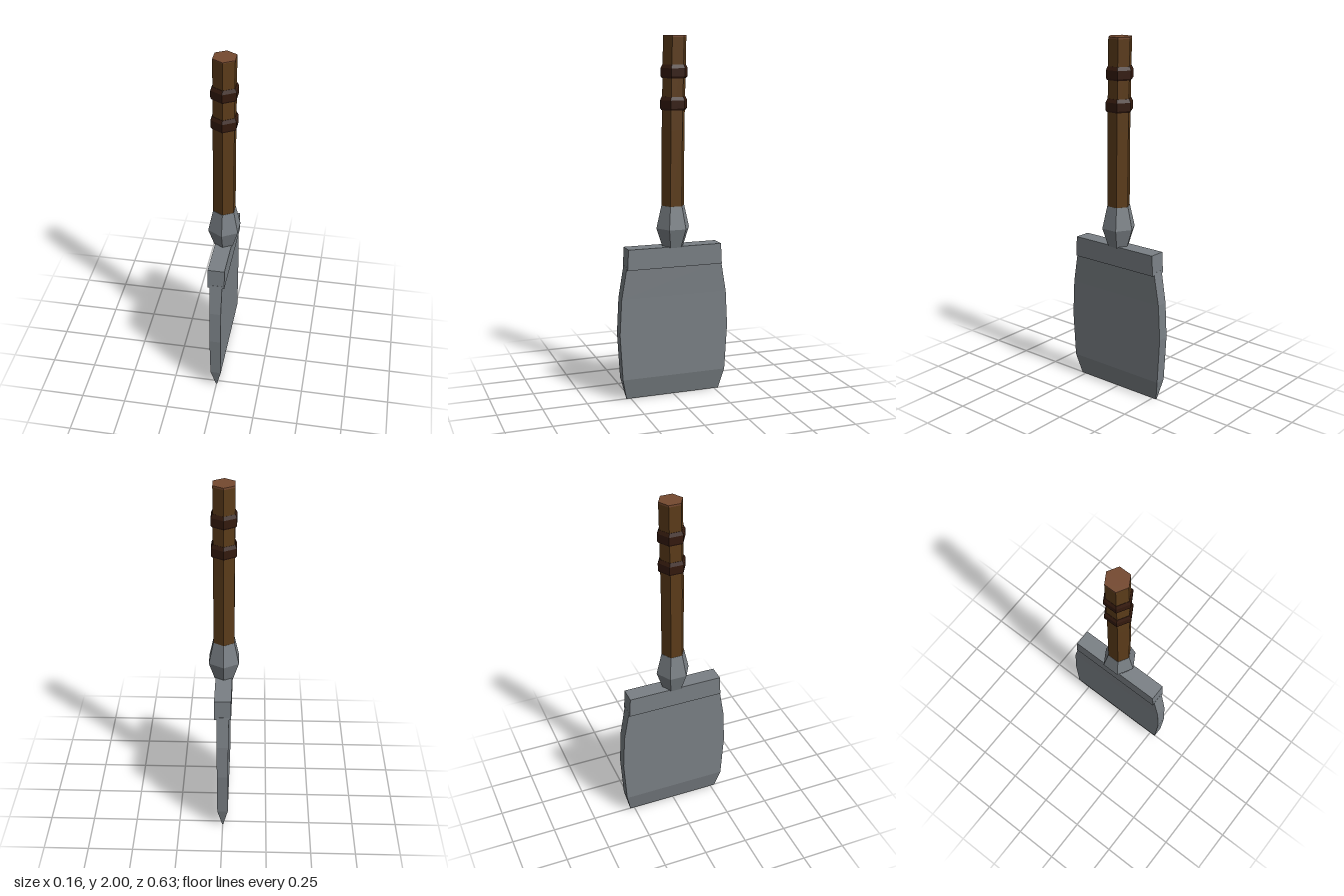
import * as THREE from 'three';

const flat = (color) => new THREE.MeshStandardMaterial({ color, flatShading: true });

// Stack of closed cross-sections (all the same corner count), capped at both ends
function loft(rings) {
  const n = rings[0].length, index = [];
  for (let r = 0; r < rings.length - 1; r++) {
    for (let i = 0; i < n; i++) {
      const a = r * n + i, b = r * n + (i + 1) % n;
      index.push(a, b, b + n, a, b + n, a + n);
    }
  }
  const top = (rings.length - 1) * n;
  for (let i = 1; i < n - 1; i++) {
    index.push(0, i + 1, i);
    index.push(top, top + i, top + i + 1);
  }
  const geometry = new THREE.BufferGeometry();
  geometry.setAttribute('position', new THREE.Float32BufferAttribute(rings.flat(2), 3));
  geometry.setIndex(index);
  const result = geometry.toNonIndexed();
  result.computeVertexNormals();
  return result;
}

// Six-sided rings from [y, radius, z offset], with corners on the z axis
const hexLoft = (sections) => loft(sections.map(([y, r, dz]) =>
  Array.from({ length: 6 }, (_, i) => {
    const a = i * Math.PI / 3;
    return [r * Math.sin(a), y, r * Math.cos(a) + dz];
  })));

// Rectangular rings from [y, half thickness, half width]
const slabLoft = (sections) => loft(sections.map(([y, x, z]) =>
  [[-x, y, z], [x, y, z], [x, y, -z], [-x, y, -z]]));

export function createModel() {
  const group = new THREE.Group();
  const steel = flat(0x7a8085), wood = flat(0x5c3c1a), endGrain = flat(0x75492f), binding = flat(0x341a0e);

  const add = (name, geometry, material) => {
    const mesh = new THREE.Mesh(geometry, material);
    mesh.name = name;
    group.add(mesh);
  };

  // Broad blade: bowed sides, bevelled to a thin cutting edge at the bottom
  add('blade', slabLoft([
    [0, 0.003, 0.275], [0.12, 0.03, 0.302], [0.38, 0.031, 0.317],
    [0.58, 0.032, 0.306], [0.76, 0.034, 0.275],
  ]), steel);

  // Thick spine across the top of the blade
  add('bladeSpine', slabLoft([[0.745, 0.046, 0.275], [0.86, 0.046, 0.269]]), steel);

  // Socket holding the handle
  add('socket', hexLoft([[0.855, 0.06, 0], [0.96, 0.095, 0], [1.085, 0.066, 0]]), steel);

  // Handle leans very slightly backwards
  add('handle', hexLoft([[1.05, 0.065, 0], [1.5, 0.065, -0.002], [1.995, 0.066, -0.011]]), wood);
  add('handleEnd', hexLoft([[1.99, 0.066, -0.011], [2, 0.066, -0.011]]), endGrain);

  // Two bindings around the grip
  [[1.64, -0.005], [1.81, -0.008]].forEach(([y, dz], i) => {
    add('binding' + (i + 1), hexLoft([
      [y - 0.035, 0.07, dz], [y - 0.025, 0.077, dz], [y + 0.018, 0.077, dz], [y + 0.037, 0.067, dz],
    ]), binding);
  });

  return group;
}
